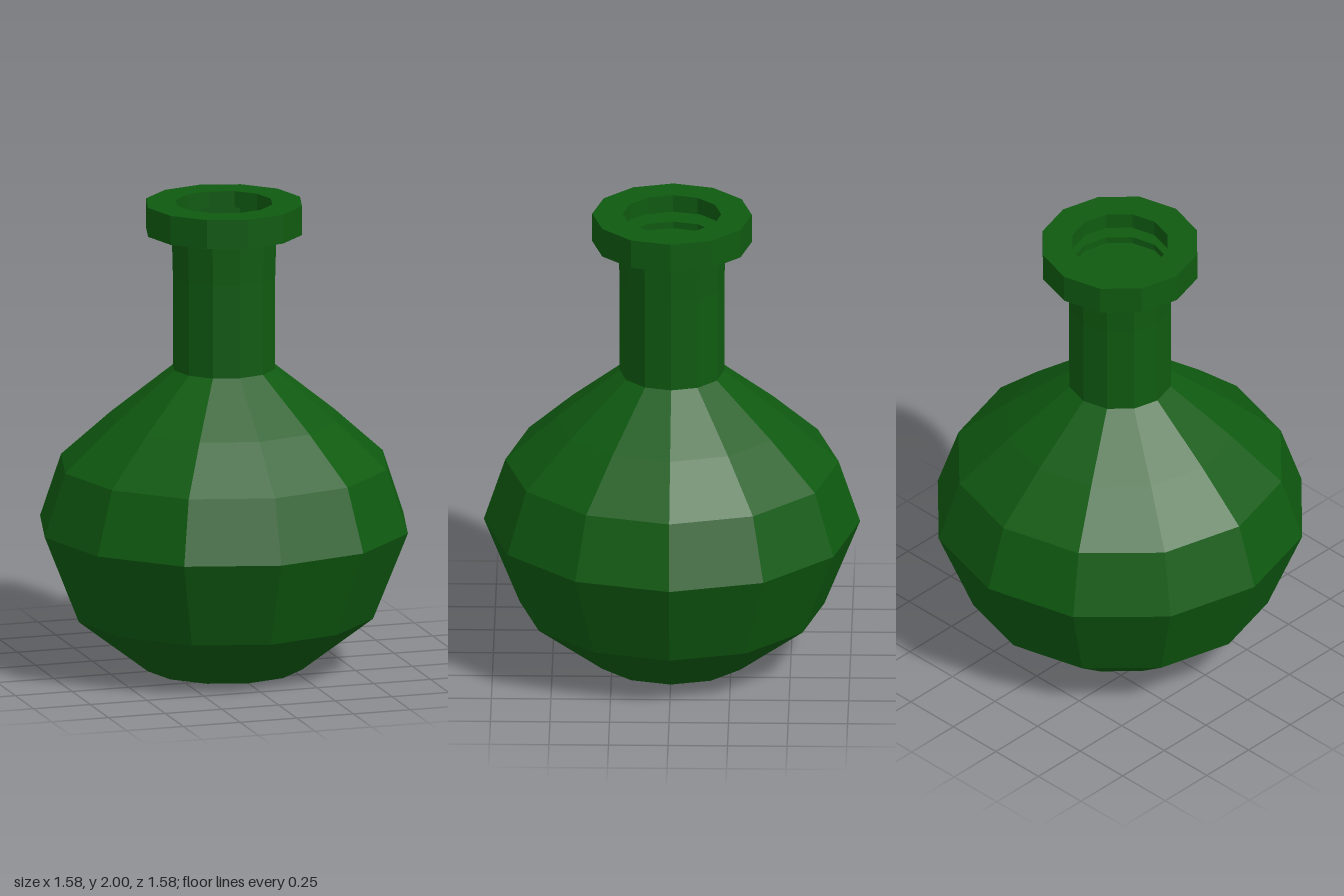
import * as THREE from 'three';

const SIDES = 12;

export function createModel() {
  const group = new THREE.Group();
  const glass = new THREE.MeshStandardMaterial({ color: 0x0f5a10, flatShading: true });
  glass.name = 'dark green glass';

  // Revolves a [radius, height] profile, listed bottom to top on the outside
  const turn = (name, profile) => {
    const points = profile.map(([r, y]) => new THREE.Vector2(r, y));
    const mesh = new THREE.Mesh(new THREE.LatheGeometry(points, SIDES), glass);
    mesh.name = name;
    group.add(mesh);
  };

  // Faceted round body with a flat base
  turn('body', [
    [0, 0], [0.335, 0], [0.64, 0.235], [0.79, 0.61],
    [0.7, 0.88], [0.485, 1.075], [0.22, 1.29],
  ]);

  // Straight neck, very slightly wider at the top
  turn('neck', [[0.22, 1.29], [0.22, 1.69], [0.225, 1.875]]);

  // Hollow lip: outer flange, mouth, inner groove and recessed floor
  turn('lip', [
    [0.225, 1.875], [0.335, 1.875], [0.335, 2], [0.207, 2],
    [0.207, 1.93], [0.315, 1.93], [0.315, 1.88], [0.207, 1.88],
    [0.207, 1.85], [0, 1.85],
  ]);

  return group;
}
